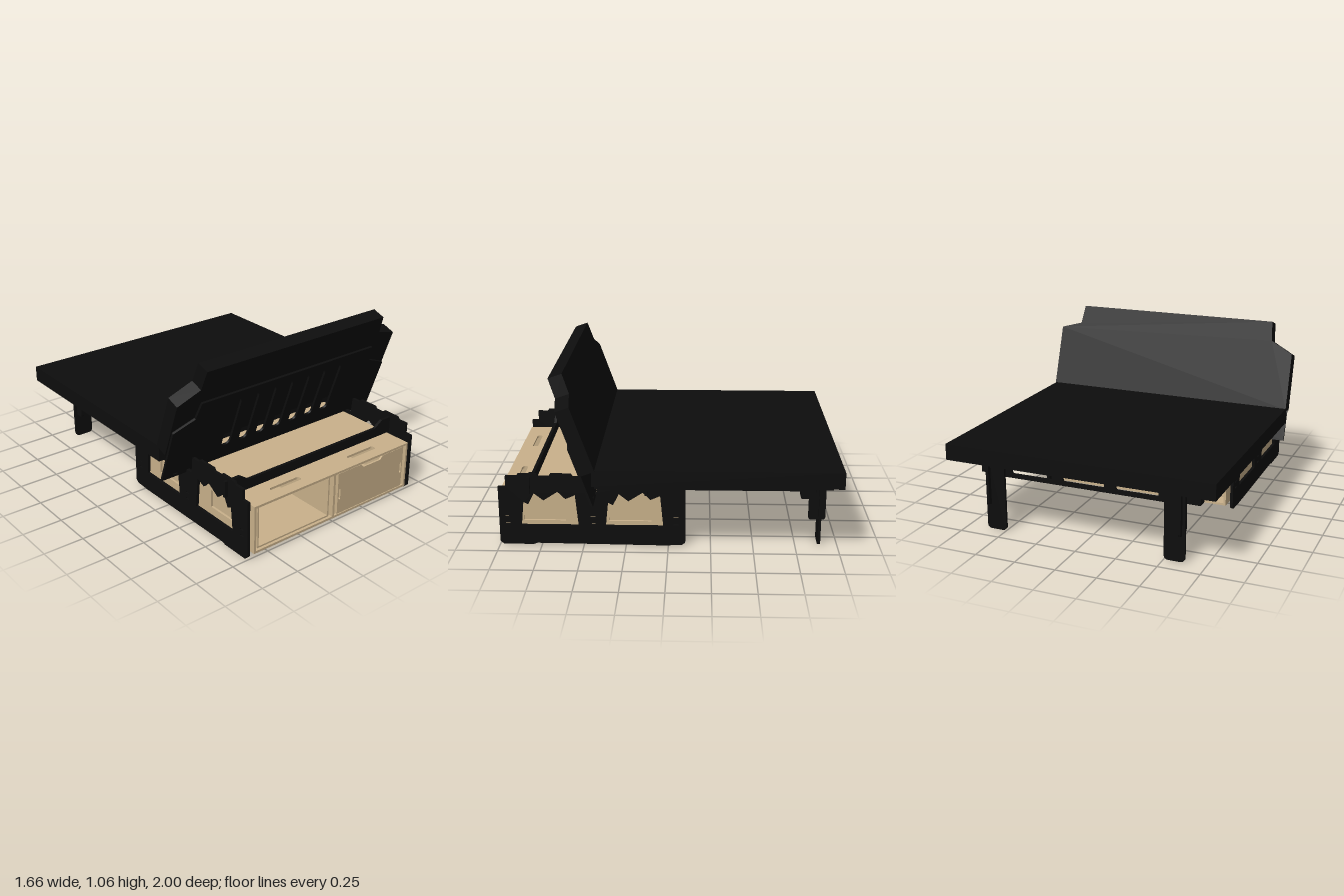
import * as THREE from 'three';

const black = new THREE.MeshStandardMaterial({ color: 0x0d0d0d });
black.name = 'black';
const wood = new THREE.MeshStandardMaterial({ color: 0xc9b18b });
wood.name = 'plywood';

// Closed outline with straight sides
const poly = (pts, Type = THREE.Shape) => new Type(pts.map(p => new THREE.Vector2(p[0], p[1])));
const rectPts = (x0, y0, x1, y1) => [[x0, y0], [x1, y0], [x1, y1], [x0, y1]];

// Rounded rectangle outline
function rounded(x0, y0, x1, y1, r, Type = THREE.Path) {
  const s = new Type();
  s.moveTo(x0 + r, y0);
  s.lineTo(x1 - r, y0);
  s.absarc(x1 - r, y0 + r, r, -Math.PI / 2, 0, false);
  s.lineTo(x1, y1 - r);
  s.absarc(x1 - r, y1 - r, r, 0, Math.PI / 2, false);
  s.lineTo(x0 + r, y1);
  s.absarc(x0 + r, y1 - r, r, Math.PI / 2, Math.PI, false);
  s.lineTo(x0, y0 + r);
  s.absarc(x0 + r, y0 + r, r, Math.PI, Math.PI * 1.5, false);
  return s;
}

// Sheet cut from a shape; plane 'xy' grows to +z, 'zy' is centred in x, 'xz' grows downwards
function sheet(parent, name, shape, holes, t, mat, plane = 'xy', at = 0) {
  shape.holes.push(...holes);
  const g = new THREE.ExtrudeGeometry(shape, { depth: t, bevelEnabled: false, curveSegments: 5 });
  if (plane === 'xy') g.translate(0, 0, at);
  if (plane === 'zy') g.rotateY(-Math.PI / 2).translate(at + t / 2, 0, 0);
  if (plane === 'xz') g.rotateX(Math.PI / 2).translate(0, at, 0);
  const m = new THREE.Mesh(g, mat);
  m.name = name;
  parent.add(m);
  return m;
}

// Box given by its limits
function box(parent, name, x0, x1, y0, y1, z0, z1, mat) {
  const m = new THREE.Mesh(new THREE.BoxGeometry(x1 - x0, y1 - y0, z1 - z0), mat);
  m.position.set((x0 + x1) / 2, (y0 + y1) / 2, (z0 + z1) / 2);
  m.name = name;
  parent.add(m);
}

function part(root, name) {
  const g = new THREE.Group();
  g.name = name;
  root.add(g);
  return g;
}

function buildCabinet(root) {
  const g = part(root, 'cabinet');
  const x0 = -0.6, x1 = 0.615, z0 = -0.09, z1 = 1, t = 0.014;
  const grips = [-1, 1].map(s => rounded(s * 0.3 - 0.11, 0.895, s * 0.3 + 0.11, 0.93, 0.015));
  sheet(g, 'cabinetTop', poly(rectPts(x0, z0, x1, z1)), grips, t, wood, 'xz', 0.322);

  // floor with lightening cutouts mirrored about the middle
  const cuts = [];
  for (const s of [-1, 1]) {
    const mir = pts => poly(pts.map(([x, z]) => [s * x, z]), THREE.Path);
    cuts.push(
      mir([[0.14, 0.04], [0.48, 0.04], [0.48, 0.14], [0.36, 0.27], [0.26, 0.27], [0.14, 0.14]]),
      mir([[0.14, 0.88], [0.48, 0.88], [0.48, 0.78], [0.36, 0.65], [0.26, 0.65], [0.14, 0.78]]),
      mir([[0.54, 0.24], [0.54, 0.68], [0.42, 0.52], [0.42, 0.4]]),
      mir([[0.07, 0.26], [0.2, 0.38], [0.07, 0.42]]),
      mir([[0.07, 0.66], [0.2, 0.54], [0.07, 0.5]]));
  }
  sheet(g, 'cabinetFloor', poly(rectPts(x0, z0, x1, z1)), cuts, t, wood, 'xz', 0.034);

  for (const x of [x0 + t / 2, x1 - t / 2]) {
    const hole = z => poly([[z, 0.14], [z + 0.25, 0.14], [z + 0.25, 0.18], [z + 0.17, 0.25], [z, 0.25]], THREE.Path);
    sheet(g, 'cabinetSide', poly(rectPts(z0, 0.034, z1, 0.308)), [hole(0.1), hole(0.61)], t, wood, 'zy', x);
  }
  box(g, 'cabinetDivider', -0.004, 0.012, 0.034, 0.308, z0, z1, wood);

  // open drawer trays
  for (const [a, b] of [[-0.565, -0.022], [0.035, 0.59]]) {
    box(g, 'drawerBase', a, b, 0.036, 0.046, 0, 0.985, wood);
    for (const x of [a, b - 0.01]) box(g, 'drawerSide', x, x + 0.01, 0.046, 0.3, 0, 0.985, wood);
  }
  // drawer front with a finger notch and side grips
  const front = poly([[0.035, 0.036], [0.58, 0.036], [0.58, 0.304], [0.4, 0.304], [0.38, 0.282],
    [0.24, 0.282], [0.22, 0.304], [0.035, 0.304]]);
  sheet(g, 'drawerFront', front, [rounded(0.045, 0.13, 0.057, 0.2, 0.005), rounded(0.56, 0.13, 0.572, 0.2, 0.005)],
    0.012, wood, 'xy', 0.985);
}

function buildSides(root) {
  const g = part(root, 'sidePanels');
  const outline = [[-0.1, 0.02], [-0.08, 0.005], [0.02, 0], [0.78, 0.008], [0.8, 0], [0.98, 0], [1, 0.02],
    [1, 0.365], [0.955, 0.365], [0.955, 0.43], [0.89, 0.43], [0.88, 0.445], [0.77, 0.445], [0.76, 0.43],
    [0.7, 0.43], [0.69, 0.445], [0.57, 0.445], [0.56, 0.43], [0.5, 0.43], [0.49, 0.33], [0.42, 0.33],
    [0.41, 0.43], [0.0, 0.43], [-0.02, 0.37], [-0.1, 0.37]];
  const win = z => poly([[z, 0.122], [z + 0.34, 0.122], [z + 0.325, 0.27], [z + 0.295, 0.255], [z + 0.26, 0.325],
    [z + 0.205, 0.28], [z + 0.12, 0.335], [z + 0.075, 0.29], [z + 0.018, 0.315]], THREE.Path);
  for (const s of [-1, 1]) {
    const slots = [];
    for (const z of [-0.06, 0.43, 0.935]) for (const y of [0.13, 0.17])
      slots.push(poly(rectPts(z, y, z + 0.03, y + 0.01), THREE.Path));
    sheet(g, 'sidePanel', poly(outline), [win(0.53), win(0.03), ...slots], 0.018, black, 'zy', s * 0.64);
  }
  // cross boards resting on the cabinet
  for (const z of [0.81, 0.12, -0.085])
    sheet(g, 'crossBoard', poly([[-0.67, 0.325], [0.67, 0.325], [0.67, 0.425], [0.56, 0.425], [0.5, 0.385],
      [-0.5, 0.385], [-0.56, 0.425], [-0.67, 0.425]]), [], 0.018, black, 'xy', z);
}

function buildBed(root) {
  const g = part(root, 'bed');
  box(g, 'mattress', -0.83, 0.825, 0.437, 0.535, -1, 0.43, black);
  // slotted platform under the mattress
  const slots = [];
  for (let i = 0; i < 7; i++) for (const z of [-0.7, -0.2])
    slots.push(rounded(-0.425 + i * 0.13, z, -0.36 + i * 0.13, z + 0.34, 0.03));
  sheet(g, 'platform', poly(rectPts(-0.8, -0.94, 0.8, 0.41)), slots, 0.014, black, 'xz', 0.437);
  for (const s of [-1, 1]) {
    box(g, 'sideRail', s * 0.68 - 0.008, s * 0.68 + 0.008, 0.37, 0.425, -0.8, 0.43, black);
    box(g, 'railBracket', s * 0.65 - 0.04, s * 0.65 + 0.04, 0.325, 0.425, -0.835, -0.77, black);
    // folding rear leg made of two crossed plates
    const a = s > 0 ? 0.5 : -0.625;
    sheet(g, 'rearLeg', rounded(a, 0, a + 0.125, 0.43, 0.025, THREE.Shape), [], 0.016, black, 'xy', -0.9);
    sheet(g, 'rearLegBrace', rounded(-0.925, 0.16, -0.825, 0.43, 0.015, THREE.Shape), [], 0.016, black, 'zy', s * 0.6);
  }
  const gaps = [-0.33, 0, 0.33].map(x => rounded(x - 0.13, 0.36, x + 0.13, 0.395, 0.012));
  sheet(g, 'rearBeam', poly(rectPts(-0.62, 0.335, 0.62, 0.425)), gaps, 0.016, black, 'xy', -0.88);
}

function buildBackrest(root) {
  const g = part(root, 'backrest');
  sheet(g, 'backCushion', poly([[-0.83, 0], [0.83, 0], [0.83, 0.4], [0.69, 0.44], [0.675, 0.56], [-0.67, 0.56],
    [-0.682, 0.436], [-0.825, 0.36]]), [], 0.085, black);
  // slotted board on the front, reaching below the cushion
  const slots = [];
  for (let i = 0; i < 7; i++) slots.push(rounded(-0.425 + i * 0.13, -0.08, -0.36 + i * 0.13, 0.28, 0.03));
  for (const s of [-1, 1]) slots.push(poly(rectPts(s * 0.73 - 0.015, -0.18, s * 0.73 + 0.015, -0.172), THREE.Path));
  sheet(g, 'backBoard', poly([[-0.82, -0.2], [0.82, -0.2], [0.82, 0.17], [0.68, 0.23], [0.66, 0.34],
    [-0.66, 0.34], [-0.68, 0.23], [-0.82, 0.17]]), slots, 0.014, black, 'xy', 0.085);
  g.position.set(0, 0.53, 0.41);
  g.rotation.x = THREE.MathUtils.degToRad(19.5);
}

export function createModel() {
  const root = new THREE.Group();
  root.name = 'camperBed';
  buildCabinet(root);
  buildSides(root);
  buildBed(root);
  buildBackrest(root);
  return root;
}
